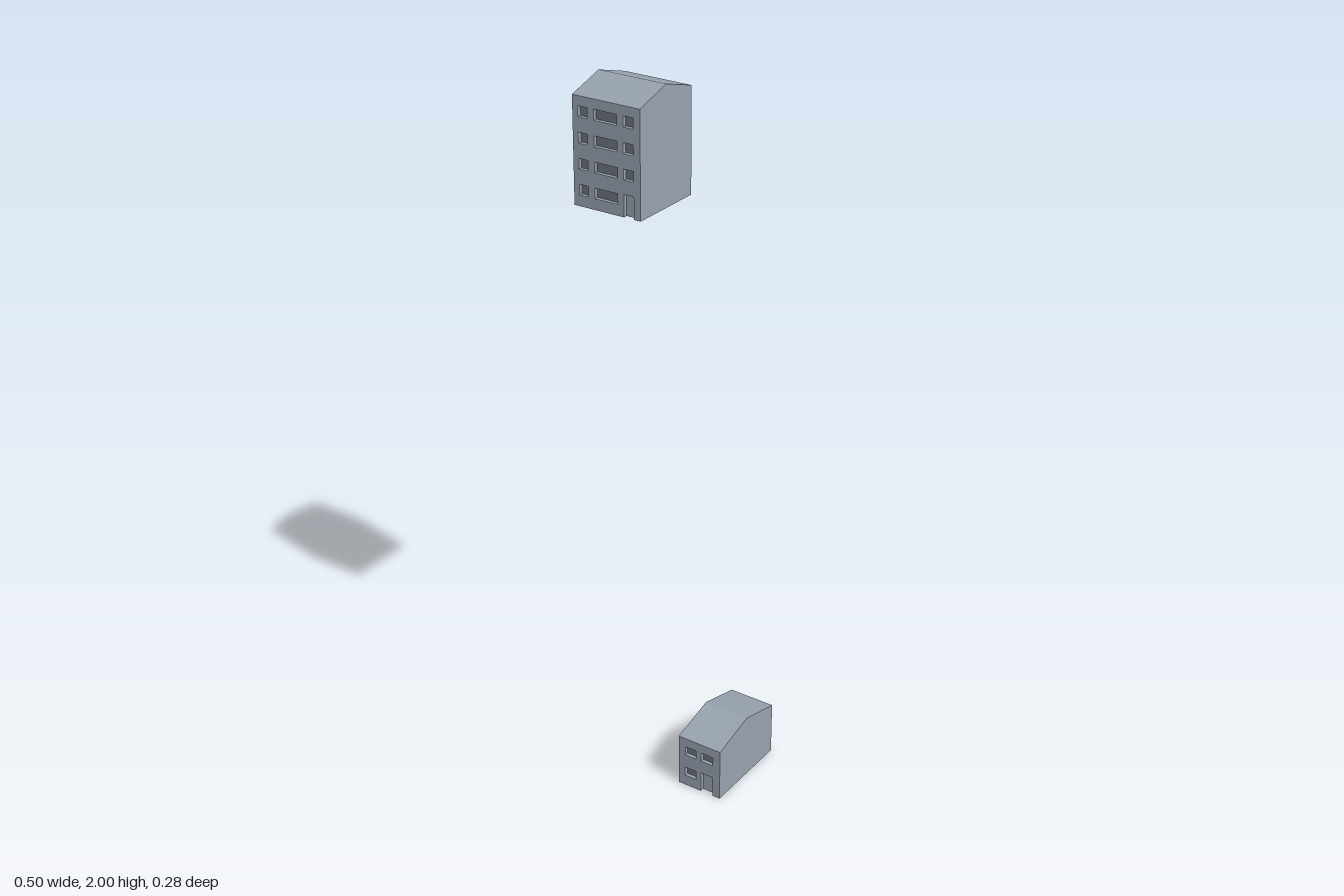
import * as THREE from 'three';

const wallMaterial = new THREE.MeshStandardMaterial({ color: 0x98a2b0 });
const paneMaterial = new THREE.MeshStandardMaterial({ color: 0x6c7480 });
const RECESS = 0.012;

function part(name, geometry, material = wallMaterial) {
  const mesh = new THREE.Mesh(geometry, material);
  mesh.name = name;
  return mesh;
}

function rectPath(x0, x1, y0, y1) {
  return new THREE.Path([[x0, y0], [x0, y1], [x1, y1], [x1, y0]].map(p => new THREE.Vector2(...p)));
}

function house(name, { x, y, z, eave, ridge, door, windows }) {
  const group = new THREE.Group();
  group.name = name;
  const [x0, x1] = x, [z0, z1] = z;
  const width = x1 - x0, depth = z1 - z0 - RECESS;

  // Solid block behind the facade; its front closes the door recess
  const body = new THREE.BoxGeometry(width, eave - y, depth);
  body.translate((x0 + x1) / 2, (y + eave) / 2, z0 + depth / 2);
  group.add(part('body', body));

  // Front wall, cut through by the windows, with a notch for the door
  const wall = new THREE.Shape([
    [x0, y], [door.x[0], y], [door.x[0], door.top], [door.x[1], door.top],
    [door.x[1], y], [x1, y], [x1, eave], [x0, eave],
  ].map(p => new THREE.Vector2(...p)));
  for (const w of windows) wall.holes.push(rectPath(...w));
  const facade = new THREE.ExtrudeGeometry(wall, { depth: RECESS, bevelEnabled: false });
  facade.translate(0, 0, z1 - RECESS);
  group.add(part('facade', facade));

  // Dark panes at the back of the window recesses
  for (const [a, b, sill, top] of windows) {
    const pane = new THREE.PlaneGeometry(b - a, top - sill);
    pane.translate((a + b) / 2, (sill + top) / 2, z1 - RECESS + 0.001);
    group.add(part('windowPane', pane, paneMaterial));
  }

  // Gable roof, its ridge running along x
  const gable = new THREE.Shape([
    [z0, eave], [z1, eave], [(z0 + z1) / 2, ridge],
  ].map(p => new THREE.Vector2(...p)));
  const roof = new THREE.ExtrudeGeometry(gable, { depth: width, bevelEnabled: false });
  roof.rotateY(-Math.PI / 2).translate(x1, 0, 0);
  group.add(part('roof', roof));
  return group;
}

export function createModel() {
  const model = new THREE.Group();
  model.name = 'houses';

  // Tall house: four floors of three windows, the door replacing the last one
  const tallWindows = [];
  for (let floor = 0; floor < 4; floor++) {
    const sill = 1.7 + floor * 0.07;
    [[-0.232, -0.203], [-0.183, -0.111], [-0.092, -0.061]].forEach(([a, b], i) => {
      if (floor > 0 || i < 2) tallWindows.push([a, b, sill, sill + 0.029]);
    });
  }
  model.add(house('tallHouse', {
    x: [-0.249, -0.04], y: 1.669, z: [-0.138, 0.092], eave: 1.966, ridge: 2,
    door: { x: [-0.092, -0.061], top: 1.731 }, windows: tallWindows,
  }));

  // Small house: two floors
  model.add(house('smallHouse', {
    x: [0.11, 0.249], y: 0, z: [-0.138, 0.138], eave: 0.16, ridge: 0.196,
    door: { x: [0.186, 0.225], top: 0.063 },
    windows: [
      [0.132, 0.169, 0.033, 0.061],
      [0.132, 0.169, 0.104, 0.132],
      [0.186, 0.225, 0.104, 0.132],
    ],
  }));
  return model;
}
